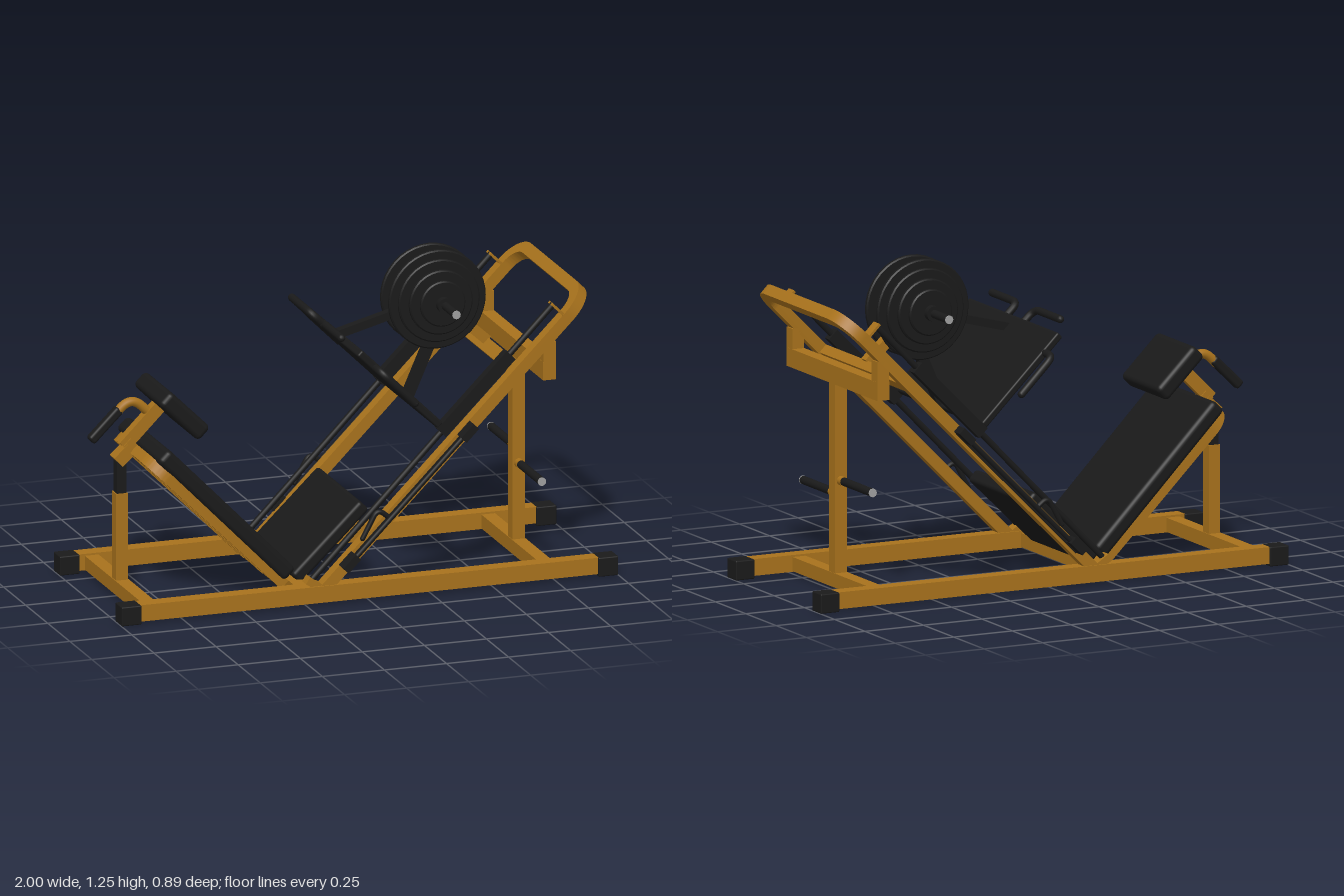
import * as THREE from 'three';
import { toCreasedNormals } from 'three/addons/utils/BufferGeometryUtils.js';
import { RoundedBoxGeometry } from 'three/addons/geometries/RoundedBoxGeometry.js';

export function createModel() {
  const model = new THREE.Group();
  const frame = new THREE.MeshStandardMaterial({ color: 0xa8721c });
  frame.name = 'ochre frame';
  const black = new THREE.MeshStandardMaterial({ color: 0x1a1a1a });
  black.name = 'black';
  const steel = new THREE.MeshStandardMaterial({ color: 0xa0a0a0 });
  steel.name = 'steel';
  const V = (x, y, z) => new THREE.Vector3(x, y, z);

  const add = (name, geo, mat, x = 0, y = 0, z = 0) => {
    const m = new THREE.Mesh(geo, mat);
    m.name = name;
    m.position.set(x, y, z);
    model.add(m);
    return m;
  };
  const box = (name, mat, w, h, d, x, y, z) => add(name, new THREE.BoxGeometry(w, h, d), mat, x, y, z);
  // Straight bar in the side plane from [x, y] to [x, y]; a radius makes it a rounded pad
  const beam = (name, mat, p, q, thick, width, z = 0, radius = 0) => {
    const dx = q[0] - p[0], dy = q[1] - p[1], len = Math.hypot(dx, dy);
    const geo = radius ? new RoundedBoxGeometry(len, thick, width, 3, radius)
      : new THREE.BoxGeometry(len, thick, width);
    const m = add(name, geo, mat, (p[0] + q[0]) / 2, (p[1] + q[1]) / 2, z);
    m.rotation.z = Math.atan2(dy, dx);
    return m;
  };
  // Round rod between two points
  const rod = (name, mat, a, b, r) => {
    const m = add(name, new THREE.CylinderGeometry(r, r, a.distanceTo(b), 16), mat);
    m.position.copy(a).add(b).multiplyScalar(0.5);
    m.quaternion.setFromUnitVectors(V(0, 1, 0), b.clone().sub(a).normalize());
    return m;
  };
  // Bent tube with rounded corners and domed ends
  const bent = (name, mat, pts, r, corner = 0.04) => {
    const path = new THREE.CurvePath();
    let last = pts[0];
    for (let i = 1; i < pts.length - 1; i++) {
      const a = pts[i].clone().add(pts[i - 1].clone().sub(pts[i]).setLength(corner));
      const b = pts[i].clone().add(pts[i + 1].clone().sub(pts[i]).setLength(corner));
      path.add(new THREE.LineCurve3(last, a));
      path.add(new THREE.QuadraticBezierCurve3(a, pts[i], b));
      last = b;
    }
    path.add(new THREE.LineCurve3(last, pts[pts.length - 1]));
    add(name, new THREE.TubeGeometry(path, 40, r, 12), mat);
    for (const p of [pts[0], pts[pts.length - 1]])
      add(name + 'End', new THREE.SphereGeometry(r, 12, 8), mat, p.x, p.y, p.z);
  };
  // Square-section U frame lying in an inclined plane, closed and rounded at its top
  const uFrame = (name, start, angle, len, half, bar, thick, r) => {
    const s = new THREE.Shape();
    const i = half - bar, ri = r - bar, e = len - r;
    s.moveTo(0, -half);
    s.lineTo(e, -half);
    s.absarc(e, -half + r, r, -Math.PI / 2, 0);
    s.lineTo(len, half - r);
    s.absarc(e, half - r, r, 0, Math.PI / 2);
    s.lineTo(0, half);
    s.lineTo(0, i);
    s.lineTo(e, i);
    s.absarc(e, i - ri, ri, Math.PI / 2, 0, true);
    s.lineTo(len - bar, -i + ri);
    s.absarc(e, -i + ri, ri, 0, -Math.PI / 2, true);
    s.lineTo(0, -i);
    s.closePath();
    const g = new THREE.ExtrudeGeometry(s, { depth: thick, bevelEnabled: false, curveSegments: 10 });
    g.translate(0, 0, -thick / 2).rotateX(Math.PI / 2);
    add(name, toCreasedNormals(g, 0.5), frame, start[0], start[1], 0).rotation.z = angle;
  };

  // Floor frame
  for (const s of [1, -1]) {
    box('baseRail', frame, 1.9, 0.065, 0.06, 0, 0.0425, s * 0.35);
    for (const e of [1, -1])
      add('endCap', new RoundedBoxGeometry(0.08, 0.076, 0.076, 2, 0.005), black, e * 0.96, 0.038, s * 0.35);
  }
  for (const x of [-0.87, -0.25, 0.727])
    box('baseCrossbar', frame, 0.055, 0.055, 0.64, x, 0.04, 0);

  // Inclined track and its rear support
  uFrame('trackFrame', [-0.19, 0.047], Math.PI / 4, 1.53, 0.375, 0.048, 0.045, 0.12);
  box('rearUpright', frame, 0.05, 0.76, 0.05, 0.727, 0.44, 0);
  box('rearCrossbar', frame, 0.052, 0.072, 0.75, 0.727, 0.835, 0);
  for (const s of [1, -1]) {
    box('trackSupport', frame, 0.05, 0.15, 0.048, 0.727, 0.875, s * 0.351);
    rod('guideRod', black, V(-0.22, 0.1, s * 0.35), V(0.75, 1.09, s * 0.35), 0.012);
    beam('upperRodLug', frame, [0.74, 1.095], [0.785, 1.05], 0.01, 0.045, s * 0.35);
    beam('lowerRodLug', frame, [-0.245, 0.1], [-0.185, 0.06], 0.03, 0.045, s * 0.35);

    // Safety stop rod with end blocks and release lever
    rod('stopRod', black, V(-0.08, 0.165, s * 0.4), V(0.39, 0.635, s * 0.4), 0.01);
    beam('stopBacking', black, [-0.1, 0.137], [0.41, 0.647], 0.02, 0.01, s * 0.376);
    for (const [x, y] of [[-0.085, 0.165], [0.39, 0.635]])
      beam('stopBlock', black, [x - 0.025, y - 0.025], [x + 0.025, y + 0.025], 0.03, 0.055, s * 0.397);
    bent('releaseLever', black, [V(-0.03, 0.25, s * 0.385), V(0.03, 0.36, s * 0.385), V(0.075, 0.325, s * 0.385)], 0.01, 0.03);

    // Plate storage peg, staggered in height
    const y = s > 0 ? 0.37 : 0.425;
    rod('storagePegCollar', frame, V(0.727, y, s * 0.02), V(0.727, y, s * 0.05), 0.018);
    rod('storagePeg', black, V(0.727, y, s * 0.03), V(0.727, y, s * 0.287), 0.016);
    rod('storagePegTip', steel, V(0.727, y, s * 0.285), V(0.727, y, s * 0.29), 0.0165);
  }

  // Seat, back rest and head rest
  beam('seatPad', black, [-0.247, 0.068], [0.03, 0.335], 0.055, 0.49, 0, 0.015);
  beam('backPad', black, [-0.78, 0.612], [-0.268, 0.086], 0.066, 0.49, 0, 0.02);
  uFrame('backFrame', [-0.29, 0.05], Math.PI * 0.75, 0.755, 0.235, 0.045, 0.042, 0.1);
  beam('backSpine', frame, [-0.85, 0.61], [-0.29, 0.05], 0.042, 0.05);
  beam('headPad', black, [-0.742, 0.81], [-0.58, 0.65], 0.07, 0.31, 0, 0.02);
  beam('headSupport', frame, [-0.86, 0.592], [-0.69, 0.762], 0.05, 0.04);
  bent('headHandleTube', frame, [V(-0.89, 0.72, 0), V(-0.825, 0.785, 0), V(-0.755, 0.715, 0)], 0.018, 0.06);
  beam('headHandleGrip', black, [-0.99, 0.625], [-0.872, 0.741], 0.038, 0.038, 0, 0.012);

  // Adjustable front post
  box('frontPost', frame, 0.048, 0.35, 0.05, -0.87, 0.235, 0);
  box('frontPostSleeve', black, 0.038, 0.13, 0.04, -0.87, 0.47, 0);
  beam('frontPostBracket', frame, [-0.885, 0.535], [-0.83, 0.585], 0.05, 0.055);

  // Sliding carriage with foot plate
  beam('footPlate', black, [-0.035, 0.98], [0.292, 0.658], 0.03, 0.735, 0, 0.008);
  beam('upperStrut', black, [-0.01, 0.945], [0.39, 1.05], 0.032, 0.035);
  beam('lowerStrut', black, [0.285, 0.67], [0.425, 0.99], 0.04, 0.035);
  beam('rearStrut', frame, [0.39, 1.06], [0.605, 0.865], 0.04, 0.038);
  rod('strutHub', frame, V(0.39, 1.035, 0), V(0.39, 1.085, 0), 0.027);
  beam('carriageCrossbar', frame, [0.585, 0.825], [0.622, 0.862], 0.04, 0.67);
  for (const s of [1, -1]) {
    beam('carriageSlider', black, [0.295, 0.63], [0.575, 0.91], 0.05, 0.036, s * 0.35);
    bent('topHandle', black, [V(-0.02, 0.965, s * 0.07), V(-0.078, 1.02, s * 0.07), V(-0.078, 1.02, s * 0.28)], 0.015);
    bent('sideHandle', black, [V(0.03, 0.915, s * 0.36), V(0.03, 0.915, s * 0.43), V(0.165, 0.78, s * 0.43)], 0.015);

    // Weight plates and loading peg
    const discs = [[0.195, 0.034, 0.022], [0.163, 0.056, 0.02], [0.127, 0.077, 0.022], [0.09, 0.1, 0.02]];
    for (const [r, z, t] of discs) {
      const b = 0.005;
      const profile = [[0, 0], [r - b, 0], [r, b], [r, t - b], [r - b, t], [0, t]];
      const g = new THREE.LatheGeometry(profile.map(([x, y]) => new THREE.Vector2(x, y)), 40);
      add('weightPlate', toCreasedNormals(g, 0.5), black, 0.39, 1.06, s * z).rotation.x = s * Math.PI / 2;
    }
    rod('plateCollar', black, V(0.39, 1.06, s * 0.11), V(0.39, 1.06, s * 0.145), 0.03);
    rod('loadingPeg', black, V(0.39, 1.06, 0), V(0.39, 1.06, s * 0.267), 0.016);
    rod('loadingPegTip', steel, V(0.39, 1.06, s * 0.265), V(0.39, 1.06, s * 0.27), 0.0165);
  }
  return model;
}
